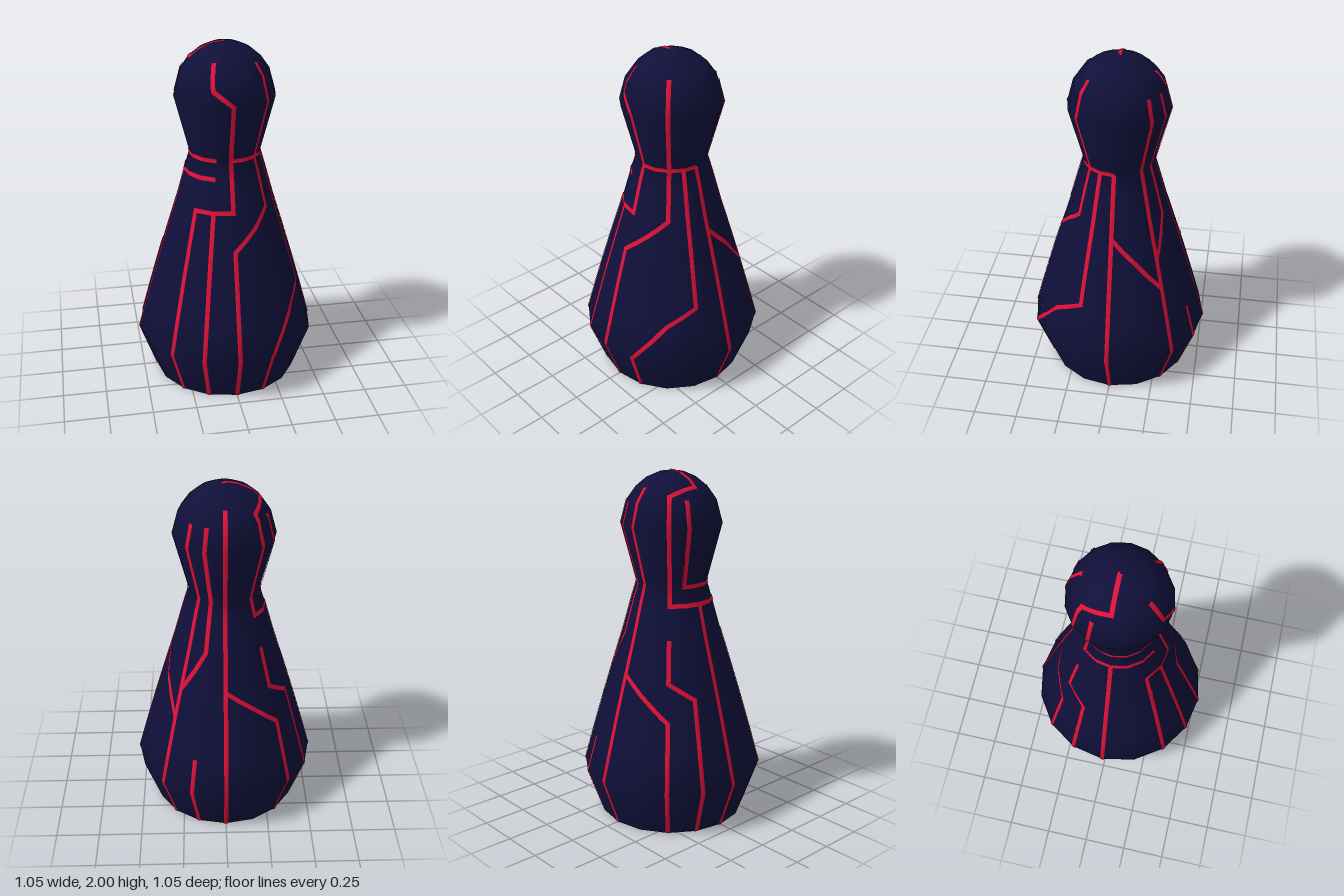
import * as THREE from 'three';

const SIDES = 16, STEP = 360 / SIDES;
// Body profile: [radius, height]
const PROFILE = [[0.42, 0], [0.52, 0.28], [0.465, 0.48], [0.405, 0.69], [0.345, 0.89], [0.28, 1.1],
  [0.23, 1.28], [0.2, 1.38], [0.285, 1.71], [0.25, 1.84], [0.2, 1.91], [0.14, 1.96], [0.07, 1.99], [0, 2]];

// Circuit lines as [angle in degrees from +z towards +x, height]
const LINES = {
  frontToLeftShoulderLine: [[0, 0], [0, 0.89], [22.5, 1], [45, 1.1], [45, 1.91]],
  neckBandLeft: [[0, 1.38], [90, 1.38]],
  leftLine: [[90, 0], [90, 1.38]],
  leftSteppedLine: [[67.5, 1.38], [67.5, 0.6], [45, 0.5], [22.5, 0.28], [22.5, 0]],
  leftBranch: [[90, 1.02], [112.5, 0.88], [135, 0.69]],
  backLeftLine: [[135, 0], [135, 1.84]],
  backLeftBranch: [[157.5, 1.84], [157.5, 1.1], [135, 0.86]],
  backShortLine: [[157.5, 0], [157.5, 0.49]],
  backLine: [[180, 0], [180, 2]],
  backBranch: [[180, 0.89], [202.5, 0.79], [225, 0.66], [225, 0]],
  backRightLine: [[225, 1.1], [225, 0.87], [247.5, 0.78], [247.5, 0]],
  crownLoop: [[270, 2], [270, 1.92], [247.5, 1.91], [225, 1.88], [225, 1.28], [270, 1.28], [337.5, 1.28]],
  neckBandRight: [[247.5, 1.86], [247.5, 1.38], [337.5, 1.38]],
  rightLine: [[270, 0], [270, 1.28]],
  faceLine: [[-27, 1.92], [-23, 1.79], [0, 1.71], [0, 1.1], [-45, 1.1], [-45, 0]],
  frontRightLine: [[-22.5, 1.1], [-22.5, 0]],
};

// Radius of the profile at a height
function radiusAt(y) {
  for (let i = 1; i < PROFILE.length; i++) {
    const [r0, y0] = PROFILE[i - 1], [r1, y1] = PROFILE[i];
    if (y <= y1) return r0 + (r1 - r0) * (y - y0) / (y1 - y0);
  }
  return 0;
}

// Shrink factor of a flat facet relative to its circle
function facet(deg) {
  const d = ((deg % STEP) + STEP) % STEP - STEP / 2;
  return Math.cos(Math.PI / SIDES) / Math.cos(THREE.MathUtils.degToRad(d));
}

function place(deg, r, y) {
  const a = THREE.MathUtils.degToRad(deg), k = r * facet(deg);
  return new THREE.Vector3(k * Math.sin(a), y, k * Math.cos(a));
}

function normalAt(deg, y) {
  const a = THREE.MathUtils.degToRad(deg);
  const lo = Math.max(0, y - 0.005), hi = Math.min(2, y + 0.005);
  const slope = (radiusAt(hi) - radiusAt(lo)) / (hi - lo);
  return new THREE.Vector3(Math.sin(a), -slope, Math.cos(a)).normalize();
}

// Nearest point on the faceted body
function snap(p) {
  const deg = THREE.MathUtils.radToDeg(Math.atan2(p.x, p.z));
  const q = new THREE.Vector2(Math.hypot(p.x, p.z) / facet(deg), p.y);
  let best = null, bestD = Infinity;
  for (let i = 1; i < PROFILE.length; i++) {
    const a = new THREE.Vector2(...PROFILE[i - 1]), ab = new THREE.Vector2(...PROFILE[i]).sub(a);
    const t = THREE.MathUtils.clamp(q.clone().sub(a).dot(ab) / ab.lengthSq(), 0, 1);
    const c = a.addScaledVector(ab, t), d = c.distanceTo(q);
    if (d < bestD) { bestD = d; best = c; }
  }
  return place(deg, best.x, best.y);
}

// Adds points where a line crosses a facet edge or profile ring
function subdivide(path) {
  const out = [path[0]];
  for (let i = 1; i < path.length; i++) {
    const [a0, y0] = path[i - 1], [a1, y1] = path[i], ts = [1];
    const add = t => { if (t > 0.02 && t < 0.98) ts.push(t); };
    for (let a = -90; a <= 360; a += STEP / 2) if (a1 !== a0) add((a - a0) / (a1 - a0));
    for (const [, y] of PROFILE) if (y1 !== y0) add((y - y0) / (y1 - y0));
    ts.sort((a, b) => a - b);
    ts.forEach((t, k) => {
      if (k && t - ts[k - 1] < 0.01) return;
      out.push([a0 + (a1 - a0) * t, y0 + (y1 - y0) * t]);
    });
  }
  return out;
}

// A strip that hugs the body, with one sheet outside and one inside the wall
function stripGeometry(path, half = 0.0125, lift = 0.004) {
  const pts = subdivide(path);
  const mid = pts.map(([a, y]) => place(a, radiusAt(y), y));
  const pos = [], index = [];
  for (const offset of [lift, -lift]) {
    const base = pos.length / 3;
    mid.forEach((m, j) => {
      const n = normalAt(...pts[j]);
      const before = m.clone().sub(mid[Math.max(j - 1, 0)]).projectOnPlane(n).normalize();
      const after = mid[Math.min(j + 1, mid.length - 1)].clone().sub(m).projectOnPlane(n).normalize();
      const t = before.clone().add(after).normalize();
      const turn = Math.max(t.dot(j < mid.length - 1 ? after : before), 0.6);
      const side = n.clone().cross(t).multiplyScalar(half / turn);
      for (const s of [-1, 0, 1]) {
        const p = s ? snap(m.clone().addScaledVector(side, s)) : m.clone();
        p.addScaledVector(n, offset);
        pos.push(p.x, Math.max(p.y, 0), p.z);
      }
      if (j === 0) return;
      for (const i of [0, 1]) {
        const b = base + j * 3 + i, a = b - 3;
        index.push(a, b, a + 1, b, b + 1, a + 1);
      }
    });
  }
  const geo = new THREE.BufferGeometry();
  geo.setAttribute('position', new THREE.Float32BufferAttribute(pos, 3));
  geo.setIndex(index);
  geo.computeVertexNormals();
  return geo;
}

export function createModel() {
  const model = new THREE.Group();
  model.name = 'pinFigure';
  const navy = new THREE.MeshStandardMaterial({ color: 0x10103a, side: THREE.DoubleSide });
  const red = new THREE.MeshStandardMaterial({ color: 0xe01038, side: THREE.DoubleSide });

  // Hollow body, open underneath
  const profile = PROFILE.map(([r, y]) => new THREE.Vector2(r, y));
  const body = new THREE.Mesh(new THREE.LatheGeometry(profile, SIDES), navy);
  body.name = 'body';
  model.add(body);

  // Circuit lines
  const circuit = new THREE.Group();
  circuit.name = 'circuitLines';
  for (const [name, path] of Object.entries(LINES)) {
    const line = new THREE.Mesh(stripGeometry(path), red);
    line.name = name;
    circuit.add(line);
  }
  model.add(circuit);
  return model;
}
